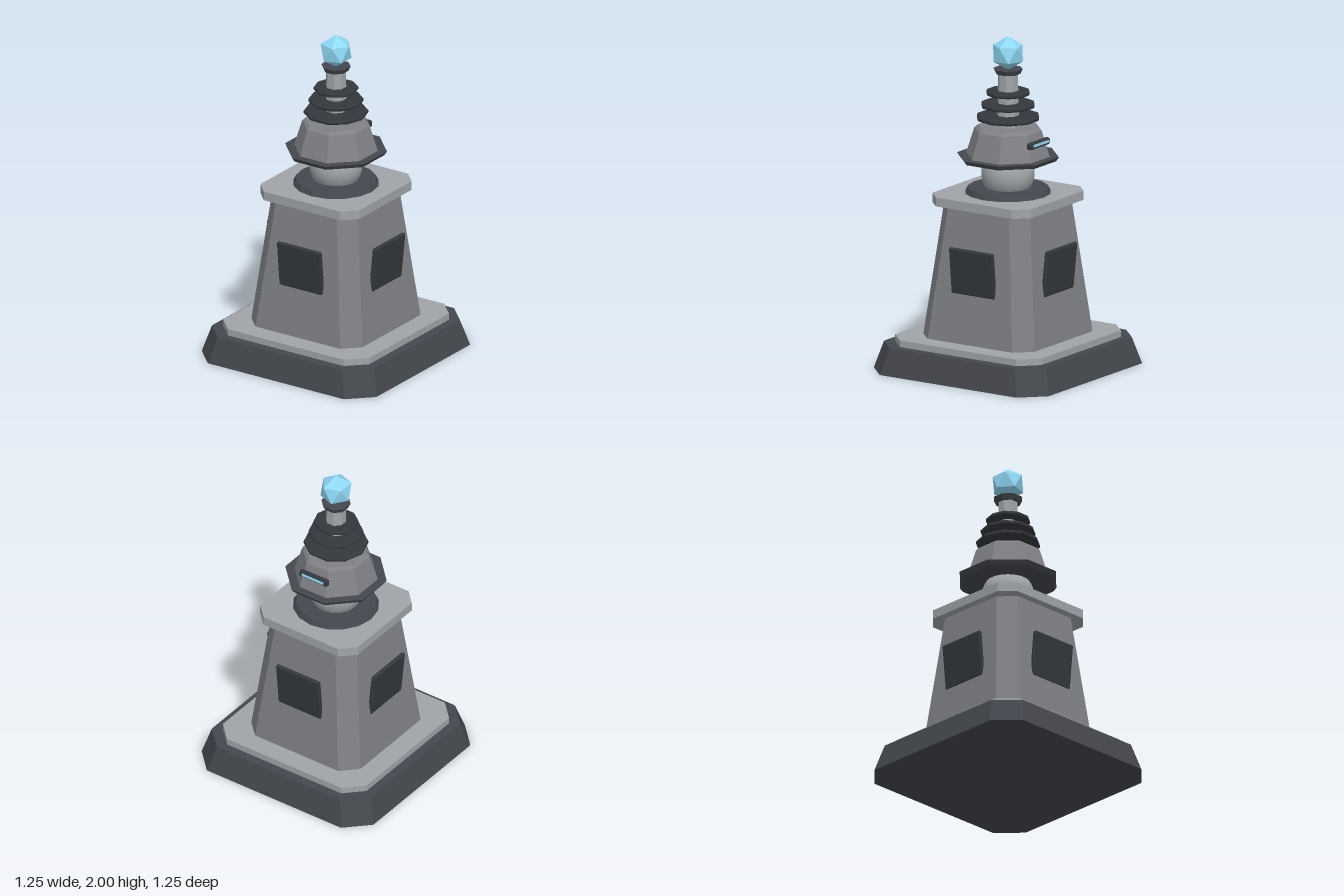
import * as THREE from 'three';
import { RoundedBoxGeometry } from 'three/addons/geometries/RoundedBoxGeometry.js';

const OCT = Math.tan(Math.PI / 8);

// Solid lofted through chamfered squares; each level is [y, half width, half length of the straight side]
function chamferedLoft(levels) {
  const rings = levels.map(([y, h, c = h * OCT]) =>
    [[h, c], [c, h], [-c, h], [-h, c], [-h, -c], [-c, -h], [c, -h], [h, -c]].map(([x, z]) => [x, y, z]));
  const pos = [];
  const tri = (...corners) => corners.forEach((p) => pos.push(...p));
  const last = rings.length - 1;
  for (let i = 0; i < 8; i++) {
    const j = (i + 1) % 8;
    for (let k = 0; k < last; k++) {
      const low = rings[k], high = rings[k + 1];
      tri(low[i], high[i], low[j]);
      tri(low[j], high[i], high[j]);
    }
    tri([0, levels[0][0], 0], rings[0][i], rings[0][j]);
    tri([0, levels[last][0], 0], rings[last][j], rings[last][i]);
  }
  const geometry = new THREE.BufferGeometry();
  geometry.setAttribute('position', new THREE.Float32BufferAttribute(pos, 3));
  geometry.computeVertexNormals();
  return geometry;
}

export function createModel() {
  const model = new THREE.Group();
  model.name = 'beaconTower';

  const material = (color, flatShading = true) => new THREE.MeshStandardMaterial({ color, flatShading });
  const dark = material(0x44474d);
  const black = material(0x34383d);
  const stone = material(0x808186);
  const light = material(0xa0a4a8);
  const smooth = material(0xa0a4a8, false);
  const glow = material(0x8fd8f5);

  const add = (name, geometry, mat, parent = model) => {
    const mesh = new THREE.Mesh(geometry, mat);
    mesh.name = name;
    parent.add(mesh);
    return mesh;
  };

  // Pedestal
  add('base', chamferedLoft([[0, 0.625, 0.488], [0.16, 0.58, 0.447]]), dark);
  add('basePlate', chamferedLoft([[0.16, 0.523, 0.415], [0.2, 0.523, 0.415]]), light);
  add('shaft', chamferedLoft([[0.2, 0.397, 0.303], [1.0, 0.307, 0.217]]), stone);
  add('capPlate', chamferedLoft([[1.0, 0.355, 0.272], [1.055, 0.355, 0.272]]), light);

  // Panels leaning outward on the four sides
  for (let i = 0; i < 4; i++) {
    const side = new THREE.Group();
    side.name = 'panelSide';
    side.rotation.y = i * Math.PI / 2;
    model.add(side);
    const panel = add('panel', new RoundedBoxGeometry(0.314, 0.285, 0.026, 2, 0.011), black, side);
    panel.position.set(0, 0.633, 0.367);
    panel.rotation.x = 0.1;
  }

  // Ball joint and its seat
  add('ballSeat', new THREE.CylinderGeometry(0.238, 0.256, 0.032, 16), dark).position.y = 1.071;
  add('ball', new THREE.SphereGeometry(0.157, 32, 20), smooth).position.y = 1.17;

  // Eight-sided head
  add('headSkirt', chamferedLoft([[1.255, 0.268], [1.28, 0.284]]), dark);
  add('head', chamferedLoft([[1.28, 0.233], [1.437, 0.188], [1.455, 0.17]]), stone);

  // Glowing slit on the back of the head
  add('slitHousing', new RoundedBoxGeometry(0.204, 0.042, 0.034, 2, 0.012), black).position.set(0, 1.378, -0.218);
  add('slitLight', new THREE.BoxGeometry(0.155, 0.014, 0.012), glow).position.set(0, 1.38, -0.236);

  // Mast with stacked ten-sided discs
  add('mast', chamferedLoft([[1.45, 0.062], [1.79, 0.055]]), light);
  [[1.51, 0.191], [1.585, 0.163], [1.66, 0.132]].forEach(([y, r]) => {
    const profile = [[0, -0.013], [r - 0.008, -0.013], [r, -0.006], [r, 0.006], [r - 0.008, 0.013], [0, 0.013]]
      .map(([x, h]) => new THREE.Vector2(x, h));
    const disc = add('mastDisc', new THREE.LatheGeometry(profile, 10), black);
    disc.position.y = y;
    disc.rotation.y = Math.PI / 2;
  });

  // Crystal and its collar
  add('crystalCollar', chamferedLoft([[1.775, 0.068], [1.805, 0.082]]), dark);
  const crystal = add('crystal', new THREE.IcosahedronGeometry(0.102), glow);
  crystal.rotation.z = -Math.atan(2 / (1 + Math.sqrt(5)));
  crystal.position.y = 1.898;

  return model;
}
